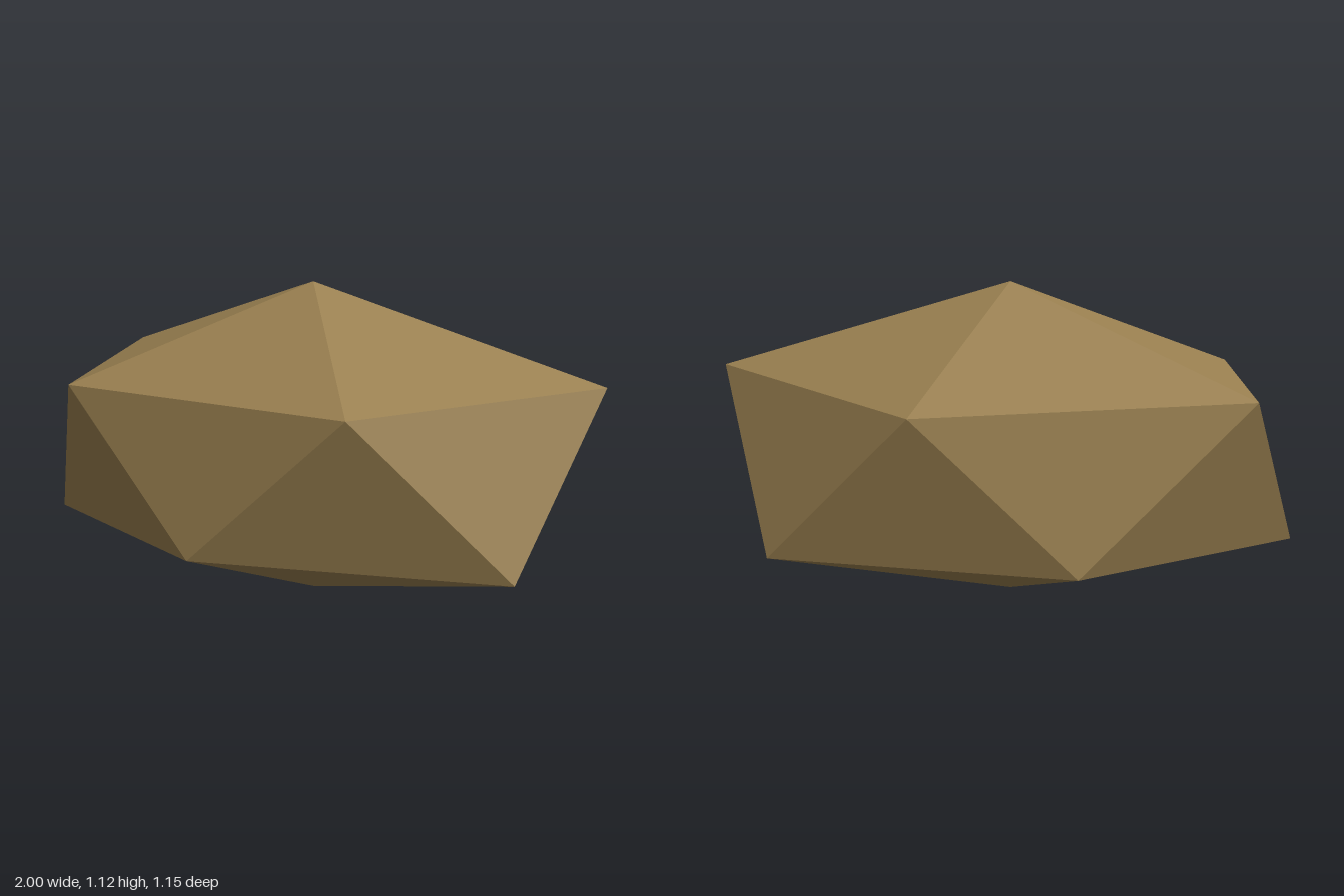
import * as THREE from 'three';

export function createModel() {
  const group = new THREE.Group();
  group.name = 'boulder';
  const stone = new THREE.MeshStandardMaterial({ color: 0x9a8050, flatShading: true });
  stone.name = 'tan stone';

  // Two staggered rings of five corners, closed by a peak and a foot
  const peak = [-0.01, 1.115, -0.015];
  const foot = [-0.01, 0, -0.015];
  const upper = [
    [1, 0.805, -0.015], [0.27, 0.78, 0.575], [-0.77, 0.78, 0.35],
    [-0.83, 0.805, -0.415], [0.26, 0.767, -0.575],
  ];
  const lower = [
    [0.775, 0.225, 0.365], [-0.28, 0.258, 0.53], [-1, 0.22, -0.015],
    [-0.28, 0.252, -0.572], [0.775, 0.225, -0.398],
  ];

  // Cap, two side facets and base facet for each fifth of the stone
  const corners = [];
  for (let i = 0; i < 5; i++) {
    const j = (i + 1) % 5;
    corners.push(
      peak, upper[j], upper[i],
      upper[i], upper[j], lower[i],
      lower[i], upper[j], lower[j],
      lower[i], lower[j], foot,
    );
  }
  const geometry = new THREE.BufferGeometry();
  geometry.setAttribute('position', new THREE.Float32BufferAttribute(corners.flat(), 3));
  geometry.computeVertexNormals();

  const rock = new THREE.Mesh(geometry, stone);
  rock.name = 'rock';
  group.add(rock);
  return group;
}
